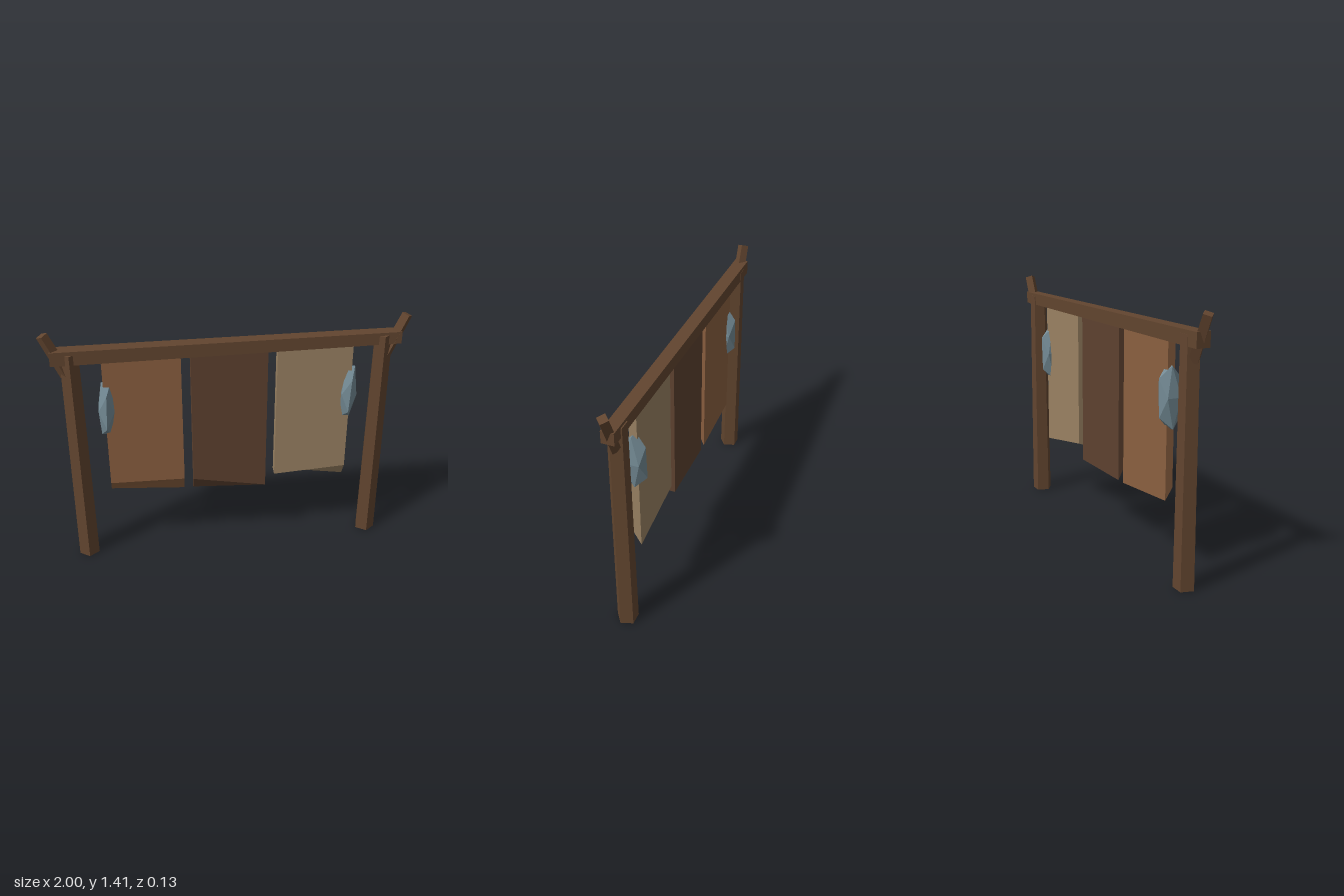
import * as THREE from 'three';

function material(name, color) {
  return new THREE.MeshStandardMaterial({ name, color, flatShading: true });
}

function addMesh(parent, name, geometry, mat, x = 0, y = 0, z = 0) {
  const mesh = new THREE.Mesh(geometry, mat);
  mesh.name = name;
  mesh.position.set(x, y, z);
  parent.add(mesh);
  return mesh;
}

// Hanging hide: a slab whose bottom corners are cut at different heights.
// cut = [front -x, front +x, back -x, back +x]
function hideGeometry(x0, x1, top, cut) {
  const geo = new THREE.BoxGeometry(x1 - x0, 1, 0.042);
  geo.translate((x0 + x1) / 2, 0, 0);
  const p = geo.attributes.position;
  const mid = (x0 + x1) / 2;
  for (let i = 0; i < p.count; i++) {
    const corner = (p.getZ(i) > 0 ? 0 : 2) + (p.getX(i) > mid ? 1 : 0);
    p.setY(i, p.getY(i) > 0 ? top : cut[corner]);
  }
  geo.computeVertexNormals();
  return geo;
}

export function createModel() {
  const group = new THREE.Group();
  group.name = 'hideRack';

  const wood = material('wood', 0x62452f);
  const tanHide = material('tan hide', 0x8b6040);
  const darkHide = material('dark hide', 0x5e4230);
  const paleHide = material('pale hide', 0x9a8263);
  const stone = material('stone', 0x748b95);

  // Posts and the slanted prongs at their tops
  const postGeo = new THREE.CylinderGeometry(0.052, 0.06, 1.292, 5);
  const prongGeo = new THREE.CylinderGeometry(0.031, 0.034, 0.255, 4);
  for (const side of [-1, 1]) {
    const label = side > 0 ? 'left' : 'right';
    addMesh(group, label + 'Post', postGeo, wood, side * 0.845, 0.646, 0);
    const prong = addMesh(group, label + 'Prong', prongGeo, wood, side * 0.92, 1.281, 0);
    prong.rotation.z = -side * 0.42;
  }

  // Crossbeam, slightly thinner towards +x
  const beamGeo = new THREE.BoxGeometry(1.89, 0.074, 0.074);
  const p = beamGeo.attributes.position;
  for (let i = 0; i < p.count; i++) {
    const s = p.getX(i) < 0 ? 1.05 : 0.92;
    p.setY(i, p.getY(i) * s);
    p.setZ(i, p.getZ(i) * s);
  }
  beamGeo.computeVertexNormals();
  addMesh(group, 'crossbeam', beamGeo, wood, 0, 1.274, -0.002);

  // Three hanging hides
  const hides = [
    ['tanHide', tanHide, -0.685, -0.265, [0.478, 0.468, 0.415, 0.38]],
    ['darkHide', darkHide, -0.213, 0.208, [0.46, 0.38, 0.38, 0.38]],
    ['paleHide', paleHide, 0.26, 0.68, [0.45, 0.47, 0.465, 0.393]],
  ];
  for (const [name, mat, x0, x1, cut] of hides) {
    addMesh(group, name, hideGeometry(x0, x1, 1.26, cut), mat);
  }

  // Faceted stones at the outer edges of the hides
  const stoneGeo = new THREE.IcosahedronGeometry(1, 0).scale(0.05, 0.188, 0.074);
  for (const x of [-0.676, 0.67]) {
    const mesh = addMesh(group, x > 0 ? 'leftStone' : 'rightStone', stoneGeo, stone, x, 0.95, 0);
    mesh.rotation.z = -0.05;
  }

  return group;
}
